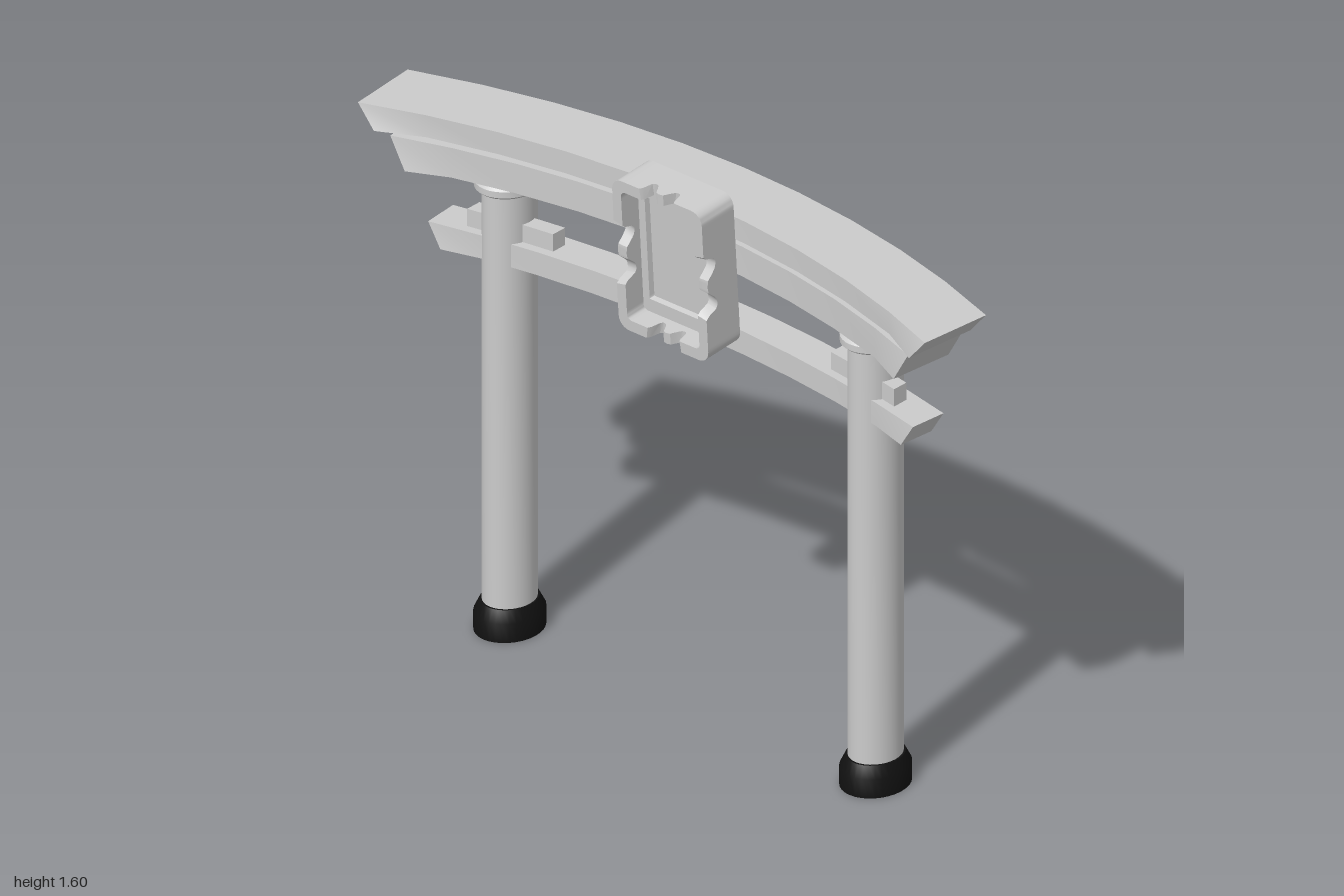
import * as THREE from 'three';
import { toCreasedNormals } from 'three/addons/utils/BufferGeometryUtils.js';

const grey = new THREE.MeshStandardMaterial({ color: 0xcccccc });
const black = new THREE.MeshStandardMaterial({ color: 0x111111 });

function mesh(name, geometry, material = grey) {
  const m = new THREE.Mesh(toCreasedNormals(geometry, 0.6), material);
  m.name = name;
  return m;
}

// Closed skin through rings of equal point count, capped at both ends
function loft(rings) {
  const n = rings[0].length;
  const index = [];
  for (let i = 0; i < rings.length - 1; i++) {
    for (let j = 0; j < n; j++) {
      const k = (j + 1) % n;
      const a = i * n + j, b = i * n + k, c = b + n, d = a + n;
      index.push(a, b, c, a, c, d);
    }
  }
  const last = (rings.length - 1) * n;
  for (let j = 1; j < n - 1; j++) {
    index.push(0, j + 1, j, last, last + j, last + j + 1);
  }
  const g = new THREE.BufferGeometry();
  g.setAttribute('position', new THREE.Float32BufferAttribute(rings.flat(2), 3));
  g.setIndex(index);
  return g;
}

// Beam bowed backwards in plan; only its last stations are sheared in at the bottom
function bowedBeam({ x0, x1, y0, y1, back, front, radius, slant = 0, taper = 0, segments = 10 }) {
  const sag = (x, r) => r - Math.sqrt(r * r - x * x);
  const rings = [];
  for (let i = 0; i <= segments; i++) {
    const x = x0 + (x1 - x0) * i / segments;
    const end = i === 0 ? 1 : i === segments ? -1 : 0;
    const xf = x + end * taper;
    const zb = back + sag(x, radius);
    const zf = front + sag(xf, radius - (front - back));
    rings.push([
      [x, y1, zb], [xf, y1, zf],
      [xf + end * slant, y0, zf], [x + end * slant, y0, zb],
    ]);
  }
  return loft(rings);
}

const lathe = (points) =>
  new THREE.LatheGeometry(points.map(([r, y]) => new THREE.Vector2(r, y)), 32);

function pillar(x) {
  const g = new THREE.Group();
  g.name = 'pillar';
  g.add(mesh('shaft', lathe([[0.068, 0.06], [0.068, 1.32]])));
  g.add(mesh('pillarCap', lathe([
    [0, 1.309], [0.08, 1.309], [0.087, 1.316], [0.087, 1.334], [0.08, 1.341], [0, 1.341],
  ])));
  g.add(mesh('base', lathe([[0.088, 0], [0.088, 0.055], [0.073, 0.088], [0.06, 0.088]]), black));
  const sole = mesh('sole', new THREE.CircleGeometry(0.088, 32));
  sole.rotation.x = Math.PI / 2;
  g.add(sole);
  g.position.set(x, 0, -0.017);
  g.scale.z = 1.17;
  return g;
}

// Scalloped rim depth: full at corners, a dip, then a bump mid-side
function rimDepth(u) {
  const steps = [[0, 0.115], [0.1, 0.112], [0.18, 0.094], [0.26, 0.081], [0.39, 0.08], [0.46, 0.12], [0.5, 0.125], [1, 0.125]];
  for (let i = 1; i < steps.length; i++) {
    const [ua, da] = steps[i - 1], [ub, db] = steps[i];
    if (u <= ub) return da + (db - da) * (u - ua) / (ub - ua);
  }
  return 0.125;
}

// Rounded rectangle ring, anticlockwise from the front; depth is a function of the place along a side
function roundedRing(w, h, r, depth) {
  const ring = [];
  const arc = 6, side = 40;
  for (let q = 0; q < 4; q++) {
    const sx = q === 0 || q === 3 ? 1 : -1;
    const sy = q < 2 ? 1 : -1;
    const cx = sx * (w / 2 - r), cy = sy * (h / 2 - r);
    for (let i = 0; i <= arc; i++) {
      const a = (q + i / arc) * Math.PI / 2;
      ring.push([cx + r * Math.cos(a), cy + r * Math.sin(a), depth(1)]);
    }
    const [px, py] = ring[ring.length - 1];
    const along = q % 2 === 0;
    for (let i = 1; i < side; i++) {
      const t = 1 - 2 * i / side;
      ring.push([along ? px * t : px, along ? py : py * t, depth(Math.abs(t))]);
    }
  }
  return ring;
}

function plaque() {
  const flat = (d) => () => d;
  const m = mesh('plaque', loft([
    roundedRing(0.31, 0.455, 0.035, flat(0)),
    roundedRing(0.31, 0.455, 0.035, rimDepth),
    roundedRing(0.25, 0.39, 0.015, rimDepth),
    roundedRing(0.25, 0.39, 0.015, flat(0.06)),
    roundedRing(0.205, 0.312, 0.002, flat(0.06)),
    roundedRing(0.198, 0.305, 0.002, flat(0.045)),
  ]));
  m.position.set(0.021, 1.369, 0.024);
  m.rotation.x = 0.066;
  return m;
}

export function createModel() {
  const model = new THREE.Group();
  model.name = 'gate';

  // Stacked top beams
  model.add(mesh('topBeam', bowedBeam({
    x0: -1, x1: 1, y0: 1.451, y1: 1.516, back: -0.2, front: 0.01, radius: 2.85, slant: 0.055, taper: 0.02,
  })));
  model.add(mesh('lowerTopBeam', bowedBeam({
    x0: -0.915, x1: 0.915, y0: 1.348, y1: 1.436, back: -0.181, front: 0.007, radius: 2.75, slant: 0.05, taper: 0.02,
  })));

  // Tie beam through the pillars
  const tie = { back: -0.123, front: -0.015, radius: 3.7 };
  model.add(mesh('tieBeam', bowedBeam({
    x0: -0.848, x1: 0.848, y0: 1.1, y1: 1.168, ...tie, slant: 0.042, taper: 0.01,
  })));

  // Pillars, each with a wedge resting on the tie beam
  for (const [x, x0, x1] of [[-0.645, -0.745, -0.487], [0.62, 0.472, 0.728]]) {
    model.add(pillar(x));
    model.add(mesh('wedge', bowedBeam({
      x0, x1, y0: 1.165, y1: 1.219, back: -0.087, front: -0.04, radius: 3.7, segments: 4,
    })));
  }

  model.add(plaque());
  return model;
}
